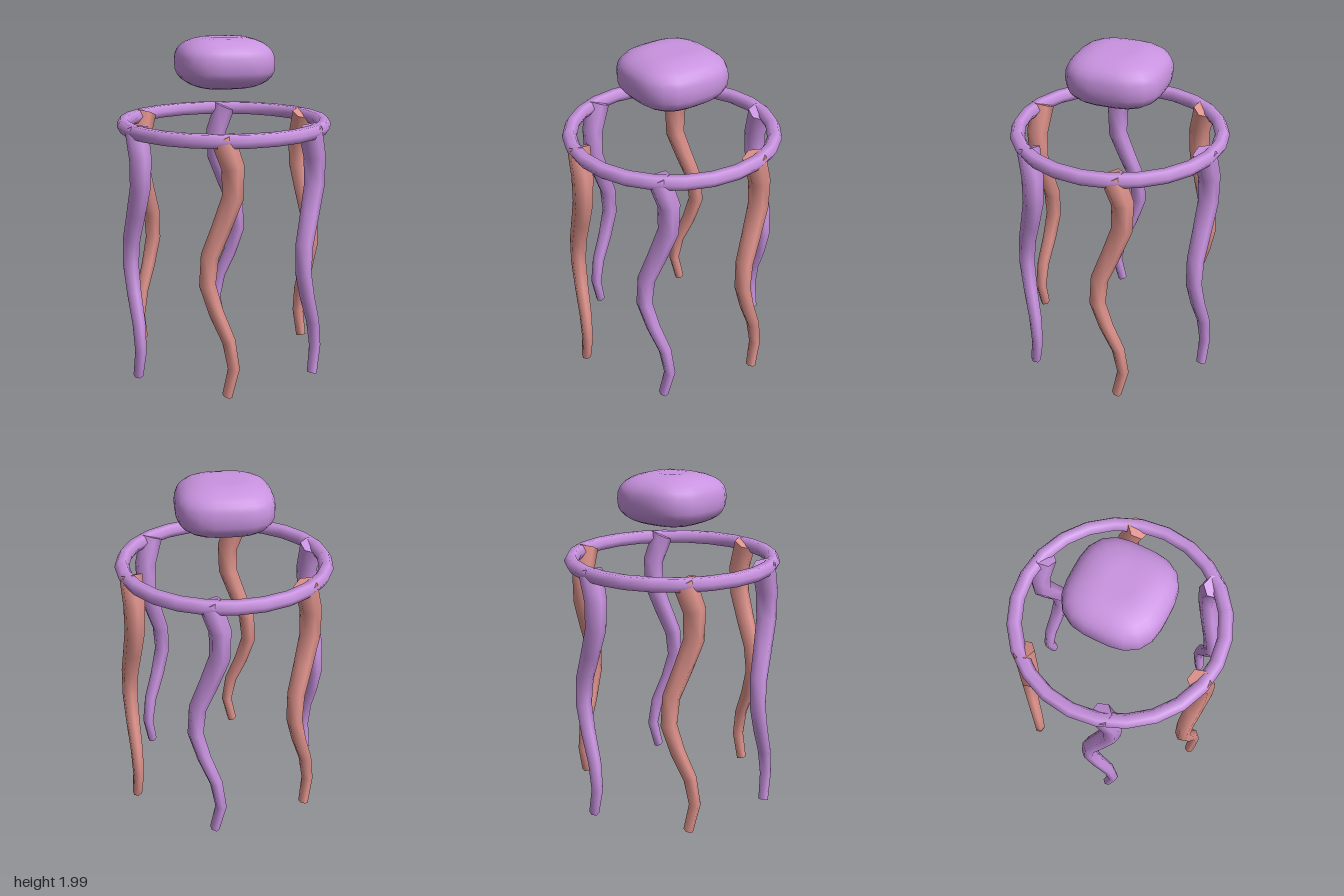
import * as THREE from 'three';
import { mergeVertices } from 'three/addons/utils/BufferGeometryUtils.js';

const purple = new THREE.MeshStandardMaterial({ color: 0xc993e0 });
purple.name = 'purple';
const salmon = new THREE.MeshStandardMaterial({ color: 0xe0938c });
salmon.name = 'salmon';

// Squashed, four-lobed blob made by reshaping a sphere
function headGeometry() {
  let g = new THREE.SphereGeometry(1, 24, 16);
  g.deleteAttribute('uv');
  g.deleteAttribute('normal');
  g = mergeVertices(g, 1e-4);
  const p = g.attributes.position;
  const e = 2 / 2.6;
  for (let i = 0; i < p.count; i++) {
    const x = p.getX(i), y = p.getY(i), z = p.getZ(i);
    const s = Math.hypot(x, z), a = Math.atan2(z, x);
    const lobe = 0.945 + 0.055 * Math.cos(4 * a);
    const rho = 0.318 * lobe * Math.pow(s, e);
    const dip = 0.012 * Math.exp(-((rho / 0.07) ** 2));
    const h = Math.sign(y) * (0.152 * Math.pow(Math.abs(y), e) - (Math.abs(y) > 0.5 ? dip : 0));
    p.setXYZ(i, rho * Math.cos(a), h, rho * Math.sin(a));
  }
  g.computeVertexNormals();
  return g;
}

// Tapered, wavy six-sided tube hanging down at +x and waving along z
function tentacleGeometry() {
  const steps = 9, sides = 6;
  const pos = [], idx = [];
  const centre = (t) => {
    const y = 1.505 - 1.49 * t;
    return new THREE.Vector3(0.567 + 0.034 * t, y, -0.076 * Math.sin(Math.PI * (1.53 - y) / 0.535));
  };
  const ring = (t) => {
    const c = centre(t);
    const d = centre(t + 0.03).sub(centre(t - 0.03)).normalize();
    const r = 0.068 - 0.038 * t;
    for (let j = 0; j < sides; j++) {
      const a = ((j + 0.5) / sides) * Math.PI * 2;
      const n = r * Math.sin(a);
      pos.push(c.x + r * Math.cos(a), c.y + n * d.z, c.z - n * d.y);
    }
  };
  for (let i = 0; i <= steps; i++) ring(i / steps);
  for (let i = 0; i < steps; i++) {
    for (let j = 0; j < sides; j++) {
      const a = i * sides + j, b = i * sides + ((j + 1) % sides);
      idx.push(a, b, a + sides, b, b + sides, a + sides);
    }
  }
  // flat end caps with their own vertices
  for (const t of [0, 1]) {
    const s = pos.length / 3;
    ring(t);
    for (let j = 1; j < sides - 1; j++) {
      if (t === 0) idx.push(s, s + j + 1, s + j);
      else idx.push(s, s + j, s + j + 1);
    }
  }
  const g = new THREE.BufferGeometry();
  g.setAttribute('position', new THREE.Float32BufferAttribute(pos, 3));
  g.setIndex(idx);
  g.computeVertexNormals();
  return g;
}

export function createModel() {
  const model = new THREE.Group();
  model.name = 'floatingCreature';

  // Floating head
  const head = new THREE.Mesh(headGeometry(), purple);
  head.name = 'head';
  head.position.y = 1.85;
  model.add(head);

  // Ring below the head
  const hoop = new THREE.Mesh(new THREE.TorusGeometry(0.593, 0.043, 6, 24), purple);
  hoop.name = 'ring';
  hoop.rotation.x = Math.PI / 2;
  hoop.position.y = 1.49;
  model.add(hoop);

  // Six tentacles in alternating colours
  const tentacle = tentacleGeometry();
  for (let i = 0; i < 6; i++) {
    const m = new THREE.Mesh(tentacle, i % 2 ? salmon : purple);
    m.name = 'tentacle' + (i + 1);
    m.rotation.y = (i * Math.PI) / 3;
    model.add(m);
  }
  return model;
}
